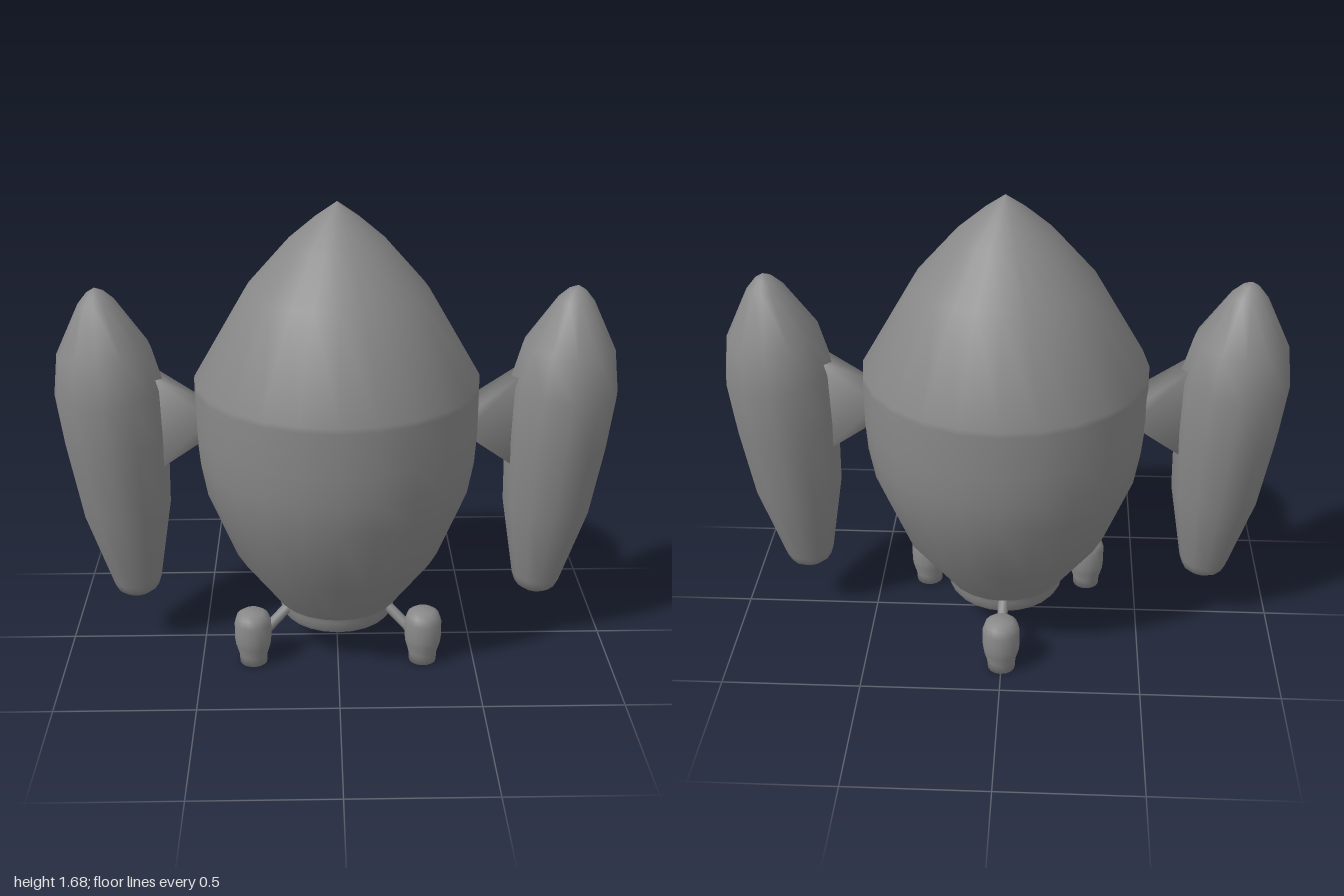
import * as THREE from 'three';
import { toCreasedNormals } from 'three/addons/utils/BufferGeometryUtils.js';

const material = new THREE.MeshStandardMaterial({ color: 0x888888 });

function mesh(name, geometry, crease) {
  const m = new THREE.Mesh(toCreasedNormals(geometry, crease), material);
  m.name = name;
  return m;
}

// Profile points run from bottom to top as [radius, height].
function lathe(name, profile, sides, crease) {
  const points = profile.map(([r, y]) => new THREE.Vector2(r, y));
  return mesh(name, new THREE.LatheGeometry(points, sides), crease);
}

// Round bar between two points.
function bar(name, a, b, radius) {
  const m = mesh(name, new THREE.CylinderGeometry(radius, radius, a.distanceTo(b), 8), 0.9);
  m.position.copy(a).lerp(b, 0.5);
  m.quaternion.setFromUnitVectors(new THREE.Vector3(0, 1, 0), b.clone().sub(a).normalize());
  return m;
}

// Side pod leaning outwards, with the tapered pylon that joins it to the hull.
function createPod(side) {
  const group = new THREE.Group();
  group.name = side > 0 ? 'leftPod' : 'rightPod';

  const pod = lathe('podShell', [
    [0, 0], [0.05, 0.006], [0.076, 0.025], [0.09, 0.06], [0.162, 0.36],
    [0.187, 0.62], [0.196, 0.81], [0.166, 0.96], [0.065, 1.135], [0.03, 1.172], [0, 1.187],
  ], 12, 1.2);
  pod.position.set(side * 0.743, 0.197, 0);
  pod.rotation.z = -side * 0.077;
  group.add(pod);

  // Pylon: tall at the pod, short and slightly thicker at the hull, softly shaded
  const geometry = new THREE.BoxGeometry(1, 1, 1);
  const p = geometry.attributes.position;
  for (let i = 0; i < p.count; i++) {
    const outer = p.getX(i) * side > 0;
    p.setXYZ(i,
      side * (outer ? 0.65 : 0.45),
      0.89 + p.getY(i) * 2 * (outer ? 0.18 : 0.034),
      p.getZ(i) * 2 * (outer ? 0.052 : 0.076));
  }
  group.add(mesh('pylon', geometry, 2.5));
  return group;
}

// Landing leg pointing along -z, turned about the hull axis.
function createLeg(angle) {
  const group = new THREE.Group();
  group.name = 'landingLeg';
  const foot = lathe('foot', [
    [0, 0], [0.05, 0], [0.052, 0.035], [0.064, 0.075], [0.067, 0.1], [0.067, 0.165],
    [0.058, 0.192], [0.04, 0.205], [0, 0.208],
  ], 16, 2);
  foot.position.z = -0.36;
  group.add(foot);
  group.add(bar('legStrut', new THREE.Vector3(0, 0.2, -0.19), new THREE.Vector3(0, 0.088, -0.34), 0.019));
  group.rotation.y = angle;
  return group;
}

export function createModel() {
  const model = new THREE.Group();
  model.name = 'rocket';

  // Hull with pointed nose and a narrow band below the shoulder
  model.add(lathe('hull', [
    [0, 0.19], [0.225, 0.19], [0.376, 0.395], [0.477, 0.65], [0.498, 0.77],
    [0.505, 0.88], [0.505, 1.035], [0.504, 1.055], [0.318, 1.375], [0.17, 1.543], [0.075, 1.624], [0, 1.677],
  ], 24, 0.75));

  // Engine ring under the hull
  model.add(lathe('engineRing', [
    [0, 0.126], [0.2, 0.126], [0.213, 0.145], [0.217, 0.17], [0.223, 0.195], [0, 0.195],
  ], 24, 0.8));

  for (const side of [-1, 1]) model.add(createPod(side));
  for (let i = 0; i < 3; i++) model.add(createLeg(i * Math.PI * 2 / 3));
  return model;
}
